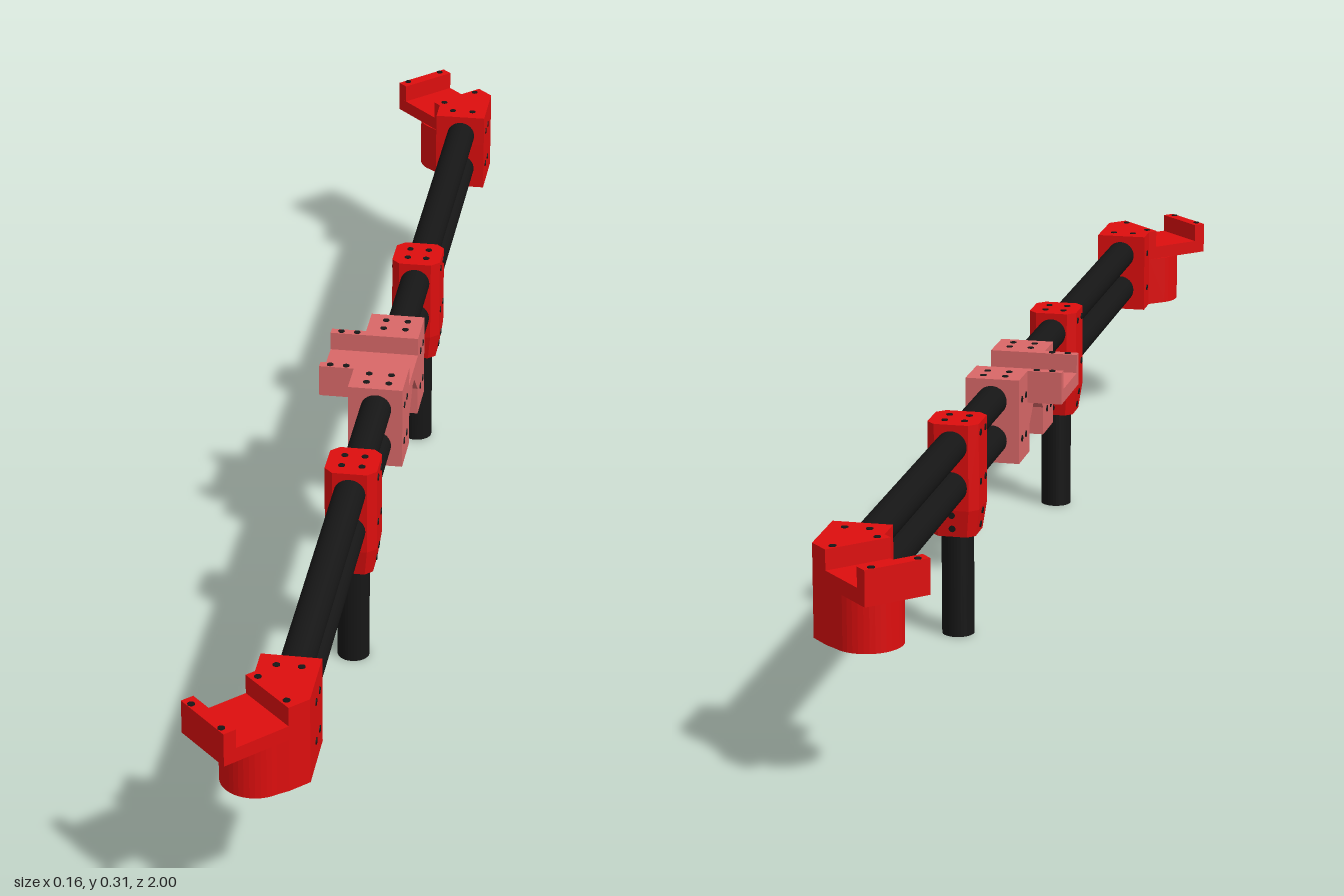
import * as THREE from 'three';

const mat = (color) => new THREE.MeshStandardMaterial({ color });
const RED = mat(0xdd0e0e), PINK = mat(0xd96868), BLACK = mat(0x161616);
const CX = 0.04;              // rod centre line in x
const ROD_Y = [0.22, 0.278];  // lower and upper rod
const ROD_R = 0.022;

function add(parent, name, geometry, material) {
  const m = new THREE.Mesh(geometry, material);
  m.name = name;
  parent.add(m);
  return m;
}

function shapeOf(points, hole) {
  const s = new THREE.Shape(points.map(([a, b]) => new THREE.Vector2(a, b)));
  if (hole) s.holes.push(new THREE.Path().absarc(hole[0], hole[1], hole[2], 0, Math.PI * 2, true));
  return s;
}

// plan outline (x, z) raised from y0 to y1
function prismY(points, y0, y1, hole) {
  return new THREE.ExtrudeGeometry(shapeOf(points, hole), { depth: y1 - y0, bevelEnabled: false, curveSegments: 24 })
    .rotateX(Math.PI / 2).translate(0, y1, 0);
}

// side outline (z, y) carried from x0 to x1
function prismX(points, x0, x1) {
  return new THREE.ExtrudeGeometry(shapeOf(points), { depth: x1 - x0, bevelEnabled: false })
    .rotateY(-Math.PI / 2).translate(x1, 0, 0);
}

// small dark screw hole, nearly flush with the face it sits on
function screw(parent, x, y, z, axis) {
  const g = new THREE.CylinderGeometry(0.0048, 0.0048, 0.002, 12);
  if (axis === 'x') g.rotateZ(Math.PI / 2);
  if (axis === 'z') g.rotateX(Math.PI / 2);
  add(parent, 'screwHole', g.translate(x, y, z), BLACK);
}

// screw holes on both sides and the top of a block
function blockScrews(parent, zs, x0, x1) {
  for (const z of zs) {
    for (const y of ROD_Y) for (const x of [x0, x1]) screw(parent, x, y, z, 'x');
    for (const dx of [-0.016, 0.016]) screw(parent, CX + dx, 0.31, z, 'y');
  }
}

function rods() {
  const g = new THREE.Group();
  g.name = 'rods';
  for (const y of ROD_Y) {
    const geo = new THREE.CylinderGeometry(ROD_R, ROD_R, 0.79, 32).rotateX(Math.PI / 2).translate(CX, y, 0.455);
    add(g, 'rod', geo, BLACK);
  }
  return g;
}

// clamp round both rods with the leg below it
function legClamp() {
  const g = new THREE.Group();
  g.name = 'legClamp';
  const z = 0.318, h = 0.036, c = 0.012;
  const oct = [[-h, -h + c], [-h + c, -h], [h - c, -h], [h, -h + c], [h, h - c], [h - c, h], [-h + c, h], [-h, h - c]];
  const body = prismY(oct, 0.187, 0.309).translate(CX, 0, z);
  add(g, 'clampBody', body, RED);

  // socket narrows towards the leg
  const socket = prismY(oct, 0.148, 0.187);
  const p = socket.attributes.position;
  for (let i = 0; i < p.count; i++) {
    if (p.getY(i) < 0.16) p.setXYZ(i, p.getX(i) * 0.84, p.getY(i), p.getZ(i) * 0.84);
  }
  socket.computeVertexNormals();
  add(g, 'clampSocket', socket.translate(CX, 0, z), RED);

  for (const s of [-1, 1]) {
    for (const dz of [-0.014, 0.014]) {
      for (const y of [0.225, 0.295]) screw(g, CX + s * h, y, z + dz, 'x');
      screw(g, CX + dz, 0.309, z + s * 0.014, 'y');
    }
    for (const y of [0.16, 0.18]) {
      const r = 0.0303 + (y - 0.148) * 0.148;
      screw(g, CX + s * r, y, z, 'x');
      screw(g, CX, y, z + s * r, 'z');
    }
  }

  // hollow leg
  const ring = (r) => [...Array(32)].map((_, i) => [r * Math.cos(i * Math.PI / 16), r * Math.sin(i * Math.PI / 16)]);
  add(g, 'leg', prismY(ring(0.0225), 0, 0.16, [0, 0, 0.018]).translate(CX, 0, z), BLACK);
  return g;
}

// end bracket: block, round socket and a cradle turned by 45 degrees
function endBracket() {
  const g = new THREE.Group();
  g.name = 'endBracket';
  const cx = 0.009, cz = 0.908, r = 0.046;
  const arc = [];
  for (let i = 0; i <= 20; i++) {
    const a = Math.PI / 4 + (Math.PI * i) / 20;
    arc.push([cx + r * Math.cos(a), cz + r * Math.sin(a)]);
  }
  const lower = [[0, 0.856], [0, 0.815], [0.078, 0.815], [0.078, 0.908], [0.055, 0.931], ...arc];
  add(g, 'lowerSocket', prismY(lower, 0.187, 0.263, [cx, cz, 0.023]), RED);
  add(g, 'upperBlock', prismY(
    [[0, 0.815], [0.078, 0.815], [0.078, 0.908], [0.055, 0.931], [-0.01, 0.866], [0, 0.856]], 0.263, 0.31), RED);
  add(g, 'cradleFloor', prismY(
    [[-0.013, 1], [-0.078, 0.935], [-0.01, 0.866], [0.055, 0.931]], 0.263, 0.283), RED);
  add(g, 'cradleTab', prismY(
    [[-0.013, 1], [-0.078, 0.935], [-0.065, 0.922], [0, 0.987]], 0.263, 0.31), RED);
  blockScrews(g, [0.838], 0, 0.078);
  for (const y of ROD_Y) screw(g, 0.078, y, 0.865, 'x');
  for (const [x, z] of [[-0.018, 0.987], [-0.064, 0.941], [0.05, 0.915], [0.006, 0.868]]) screw(g, x, 0.31, z, 'y');
  screw(g, 0.055, 0.187, 0.875, 'y');
  return g;
}

// centre bracket: two rod blocks joined by a braced channel
function centreBracket() {
  const g = new THREE.Group();
  g.name = 'centreBracket';
  const mirror = (half) => [...half, ...half.map(([z, y]) => [-z, y]).reverse()];
  add(g, 'rodBlocks', prismX(mirror(
    [[0.008, 0.263], [0.045, 0.228], [0.045, 0.187], [0.113, 0.187], [0.113, 0.31], [0.045, 0.31], [0.045, 0.283]]),
  0, 0.078), PINK);
  add(g, 'channel', prismX(mirror(
    [[0.058, 0.263], [0.058, 0.31], [0.045, 0.31], [0.045, 0.283]]), -0.05, 0), PINK);
  for (const s of [-1, 1]) {
    blockScrews(g, [s * 0.07, s * 0.095], 0, 0.078);
    for (const x of [-0.035, -0.012]) screw(g, x, 0.31, s * 0.0515, 'y');
  }
  return g;
}

export function createModel() {
  const model = new THREE.Group();
  model.name = 'railAssembly';
  for (const s of [1, -1]) {
    const half = new THREE.Group();
    half.name = s > 0 ? 'frontHalf' : 'backHalf';
    half.add(rods(), legClamp(), endBracket());
    half.scale.z = s;
    model.add(half);
  }
  model.add(centreBracket());
  return model;
}
